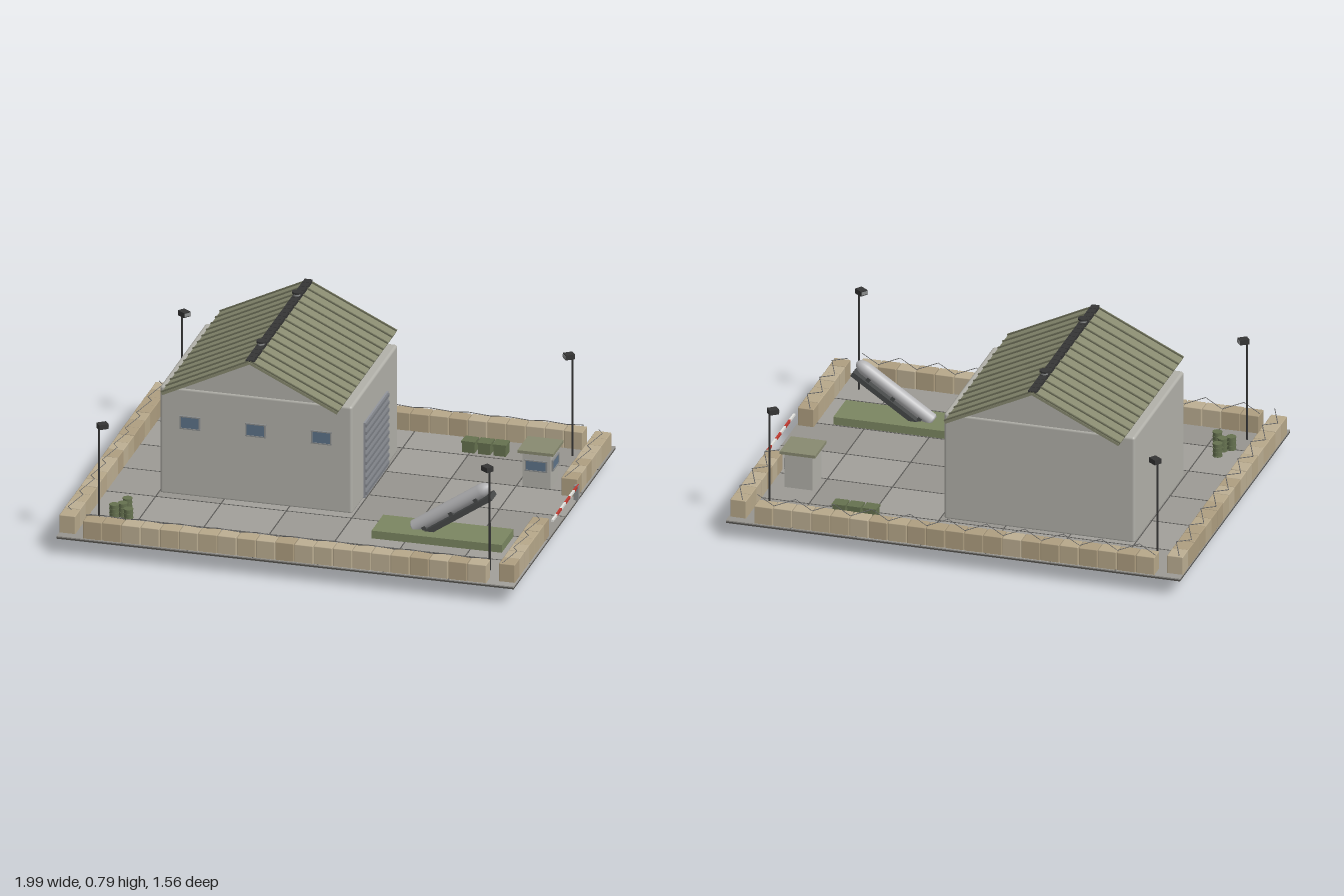
import * as THREE from 'three';
import { RoundedBoxGeometry } from 'three/addons/geometries/RoundedBoxGeometry.js';

const mat = (color) => new THREE.MeshStandardMaterial({ color });
const M = {
  base: mat(0x55534f), seam: mat(0x5c5b58), wall: mat(0xb1b0a9), roof: mat(0x888a70), rib: mat(0x6c6e58),
  dark: mat(0x353535), glass: mat(0x5d7389), frame: mat(0x8a8c8c), door: mat(0x92959b), slat: mat(0x7c7f85),
  pad: mat(0x7b8661), crate: mat(0x65714f), metal: mat(0xb4b4b6), rail: mat(0x464848),
  red: mat(0xc0392f), white: mat(0xe4e4e0), wire: mat(0x6d6d6d),
  tiles: [0x9c9a95, 0x97958f, 0xa19f9a].map(mat),
  sand: [0xb7a88a, 0xae9e80, 0xbcae92].map(mat),
};
const GROUND = 0.09;

let seed = 7;
const rand = () => (seed = (seed * 16807) % 2147483647) / 2147483647;
const jitter = (a) => (rand() - 0.5) * 2 * a;

function add(parent, name, geo, material, x = 0, y = 0, z = 0) {
  const m = new THREE.Mesh(geo, material);
  m.name = name;
  m.position.set(x, y, z);
  parent.add(m);
  return m;
}
const box = (parent, name, material, w, h, d, x, y, z) =>
  add(parent, name, new THREE.BoxGeometry(w, h, d), material, x, y, z);
function group(parent, name, x = 0, y = 0, z = 0) {
  const g = new THREE.Group();
  g.name = name;
  g.position.set(x, y, z);
  parent.add(g);
  return g;
}

// Concrete yard: base plate, tiles and dark seams
function buildGround(root) {
  const g = group(root, 'ground');
  box(g, 'basePlate', M.base, 1.985, 0.007, 1.56, -0.005, 0.0815, 0);
  const nx = 7, nz = 6, w = 1.985 / nx, d = 1.56 / nz;
  for (let i = 0; i < nx; i++) for (let j = 0; j < nz; j++)
    box(g, 'tile', M.tiles[Math.floor(rand() * 3)], w, 0.005, d, -0.9975 + w * (i + 0.5), 0.0875, -0.78 + d * (j + 0.5));
  for (let i = 1; i < nx; i++) box(g, 'seam', M.seam, 0.005, 0.001, 1.56, -0.9975 + w * i, GROUND + 0.0005, 0);
  for (let j = 1; j < nz; j++) box(g, 'seam', M.seam, 1.985, 0.001, 0.005, -0.005, GROUND + 0.0005, -0.78 + d * j);
}

// Row of filled barrier blocks with a zigzag of wire on top
function barrierRow(root, x0, z0, x1, z1, count) {
  const g = group(root, 'barrierRow');
  const alongX = z0 === z1, step = Math.hypot(x1 - x0, z1 - z0) / count;
  for (let i = 0; i < count; i++) {
    const t = (i + 0.5) / count;
    const block = add(g, 'barrierBlock', new RoundedBoxGeometry(step * 0.97, 0.085 + jitter(0.002), 0.07, 1, 0.004),
      M.sand[Math.floor(rand() * 3)], x0 + (x1 - x0) * t, 0.128, z0 + (z1 - z0) * t);
    block.rotation.y = (alongX ? 0 : Math.PI / 2) + jitter(0.02);
  }
  const len = step * count, n = Math.round(len / 0.085), wire = new THREE.CurvePath();
  const pts = [];
  for (let i = 0; i <= n; i++) {
    const t = i / n, side = (i % 2 ? 1 : -1) * 0.02;
    pts.push(new THREE.Vector3(x0 + (x1 - x0) * t + (alongX ? 0 : side), i % 2 ? 0.198 : 0.174, z0 + (z1 - z0) * t + (alongX ? side : 0)));
  }
  for (let i = 0; i < n; i++) wire.add(new THREE.LineCurve3(pts[i], pts[i + 1]));
  add(g, 'wire', new THREE.TubeGeometry(wire, n * 4, 0.0018, 4), M.wire);
}

// Window pane in a shallow frame, facing +z
function windowUnit(parent, w, h, x, y, z, turn = 0) {
  const g = group(parent, 'window', x, y, z);
  g.rotation.y = turn;
  box(g, 'pane', M.glass, w, h, 0.008, 0, 0, 0);
  for (const s of [-1, 1]) {
    box(g, 'windowFrame', M.frame, w + 0.008, 0.005, 0.014, 0, s * h / 2, 0);
    box(g, 'windowFrame', M.frame, 0.005, h, 0.014, s * w / 2, 0, 0);
  }
}

// Storage hall: walls, gables, pitched roof, door
function buildHall(root) {
  const g = group(root, 'hall', -0.293, 0, -0.14);
  add(g, 'walls', new RoundedBoxGeometry(0.835, 0.488, 0.7, 2, 0.012), M.wall, 0, 0.328, 0);
  const tri = new THREE.Shape([[-0.38, 0.568], [0.38, 0.568], [0, 0.742]].map((p) => new THREE.Vector2(...p)));
  add(g, 'gable', new THREE.ExtrudeGeometry(tri, { depth: 0.69, bevelEnabled: false }), M.wall, 0, 0, -0.345);

  const angle = Math.atan2(0.183, 0.38);
  for (const s of [-1, 1]) {
    const slope = group(g, 'roofSlope', s * 0.19, 0.672, -0.003);
    slope.rotation.z = -s * angle;
    box(slope, 'roofPanel', M.roof, 0.424, 0.011, 0.908, 0, 0, 0);
    for (let i = 0; i < 14; i++)
      box(slope, 'roofRib', M.rib, 0.424, 0.007, 0.008, 0, 0.008, -0.448 + i * 0.0689);
  }
  for (let i = 0; i < 22; i++)
    box(g, 'ridgeCap', M.dark, 0.034, 0.014, 0.038, 0, 0.769, -0.436 + i * 0.0412);
  for (const z of [0.27, -0.275]) {
    add(g, 'ridgeVent', new THREE.CylinderGeometry(0.015, 0.015, 0.026, 12), M.frame, 0, 0.777, z);
    add(g, 'ventCap', new THREE.CylinderGeometry(0.021, 0.021, 0.008, 12), M.dark, 0, 0.79, z);
  }
  for (const x of [-0.285, 0, 0.285]) windowUnit(g, 0.082, 0.054, x, 0.42, 0.352);

  // Roller door on the right wall
  const door = group(g, 'rollerDoor', 0.42, 0, 0);
  box(door, 'doorPanel', M.door, 0.012, 0.34, 0.355, 0, 0.26, 0);
  for (let i = 0; i < 10; i++) box(door, 'doorSlat', M.slat, 0.018, 0.013, 0.352, 0.002, 0.11 + i * 0.034, 0);
}

// Floodlight mast with the head turned to the yard centre
function lampPost(root, sx, sz) {
  const g = group(root, 'lampPost', sx * 0.848 - 0.006, 0, sz * 0.634);
  g.rotation.y = Math.atan2(-sx * 0.85, -sz * 0.634);
  add(g, 'pole', new THREE.CylinderGeometry(0.004, 0.005, 0.46, 8), M.dark, 0, 0.31, 0);
  box(g, 'lampHead', M.dark, 0.034, 0.022, 0.042, 0, 0.545, 0.016);
  box(g, 'lampGlass', M.frame, 0.028, 0.014, 0.002, 0, 0.545, 0.038);
}

// Guard booth
function buildBooth(root) {
  const g = group(root, 'guardBooth', 0.79, 0, -0.326);
  box(g, 'boothWalls', M.wall, 0.122, 0.155, 0.127, 0, 0.1675, 0);
  box(g, 'boothRoof', M.roof, 0.155, 0.013, 0.158, 0, 0.252, 0);
  windowUnit(g, 0.09, 0.045, 0, 0.19, 0.064);
  windowUnit(g, 0.088, 0.045, 0.062, 0.19, 0, Math.PI / 2);
}

// Striped gate arm on a post
function buildGate(root) {
  const g = group(root, 'gate', 0.988, 0, 0);
  box(g, 'gatePost', M.frame, 0.018, 0.066, 0.022, -0.003, 0.121, -0.19);
  const n = 6, len = 0.395 / n;
  for (let i = 0; i < n; i++)
    box(g, 'gateArm', i % 2 ? M.white : M.red, 0.009, 0.01, len, 0, 0.149, -0.203 + len * (i + 0.5));
}

// Inclined rail with a rounded cylinder lying on it
function buildLauncher(root) {
  box(root, 'launchPad', M.pad, 0.565, 0.035, 0.178, 0.558, 0.1075, 0.355);
  const g = group(root, 'launcher', 0.562, 0.161, 0.355);
  g.rotation.z = Math.atan2(0.285, 0.42);
  box(g, 'rail', M.rail, 0.52, 0.022, 0.072, 0, 0, 0);
  for (const x of [-0.08, 0.06, 0.19]) box(g, 'cradle', M.rail, 0.018, 0.022, 0.055, x, 0.018, 0);
  const profile = [[0, 0], [0.022, 0], [0.03, 0.008], [0.03, 0.355], [0.028, 0.372], [0.022, 0.388], [0.012, 0.4], [0, 0.404]];
  const body = add(g, 'rocketBody', new THREE.LatheGeometry(profile.map((p) => new THREE.Vector2(...p)), 20), M.metal, -0.13, 0.041, 0);
  body.rotation.z = -Math.PI / 2;
}

// Crates and drums
function buildSupplies(root) {
  const g = group(root, 'supplies');
  for (const x of [0.415, 0.483, 0.55]) {
    const c = group(g, 'crate', x, GROUND, -0.572);
    c.rotation.y = jitter(0.12);
    box(c, 'crateBody', M.crate, 0.054, 0.045, 0.054, 0, 0.0225, 0);
    box(c, 'crateLid', M.crate, 0.06, 0.009, 0.06, 0, 0.0475, 0);
  }
  for (const [x, z] of [[-0.785, 0.44], [-0.79, 0.495], [-0.82, 0.52], [-0.75, 0.55]]) {
    const d = group(g, 'drum', x, GROUND, z);
    add(d, 'drumBody', new THREE.CylinderGeometry(0.019, 0.019, 0.06, 14), M.crate, 0, 0.03, 0);
    for (const y of [0.003, 0.021, 0.04, 0.058])
      add(d, 'drumHoop', new THREE.CylinderGeometry(0.021, 0.021, 0.004, 14), M.crate, 0, y, 0);
  }
}

export function createModel() {
  const root = new THREE.Group();
  root.name = 'compound';
  buildGround(root);
  for (const z of [-0.739, 0.739]) barrierRow(root, -0.885, z, 0.867, z, 21);
  barrierRow(root, -0.962, -0.74, -0.962, 0.74, 18);
  for (const s of [-1, 1]) barrierRow(root, 0.946, s * 0.215, 0.946, s * 0.74, 7);
  buildHall(root);
  for (const sx of [-1, 1]) for (const sz of [-1, 1]) lampPost(root, sx, sz);
  buildBooth(root);
  buildGate(root);
  buildLauncher(root);
  buildSupplies(root);
  return root;
}
